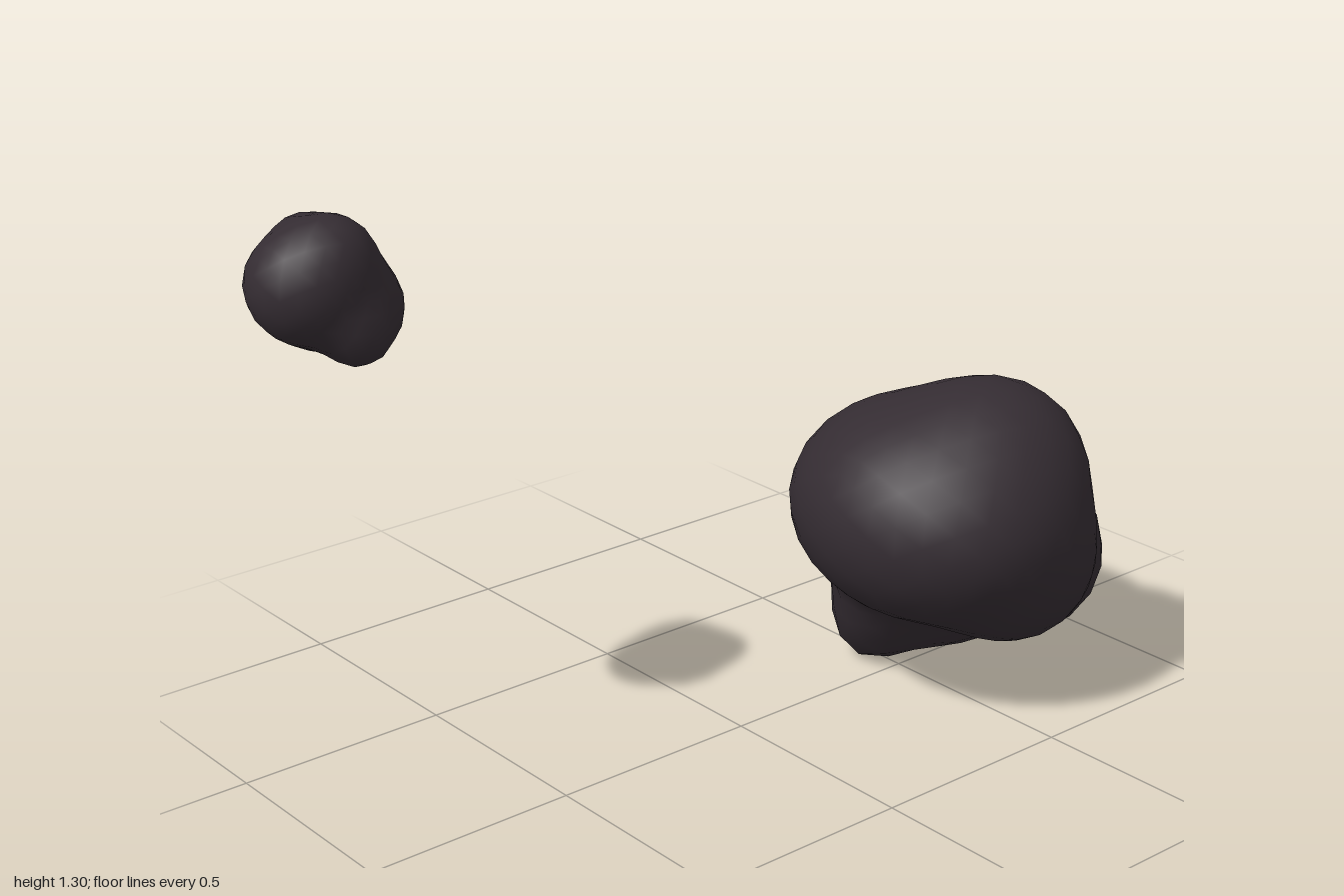
import * as THREE from 'three';
import { mergeVertices } from 'three/addons/utils/BufferGeometryUtils.js';

// Smooth union of ellipsoids [x, y, z, rx, ry, rz] (ry, rz default to rx), as a signed distance
function distance(p, lobes, blend) {
  let d = Infinity;
  for (const [x, y, z, rx, ry = rx, rz = rx] of lobes) {
    const u = (p.x - x) / rx, v = (p.y - y) / ry, w = (p.z - z) / rz;
    const k = Math.hypot(u, v, w);
    const e = k * (k - 1) / Math.max(Math.hypot(u / rx, v / ry, w / rz), 1e-6);
    if (d === Infinity) { d = e; continue; }
    const h = Math.max(blend - Math.abs(d - e), 0) / blend;
    d = Math.min(d, e) - h * h * blend * 0.25;
  }
  return d;
}

// Shrink-wraps an icosphere onto the lobes, marching inwards to the centre
function makeRock(name, center, lobes, blend, detail, material) {
  const ico = new THREE.IcosahedronGeometry(1, detail);
  ico.deleteAttribute('normal');
  ico.deleteAttribute('uv');
  const geometry = mergeVertices(ico, 1e-4);
  const pos = geometry.attributes.position;
  const c = new THREE.Vector3(...center);
  const dir = new THREE.Vector3();
  const p = new THREE.Vector3();
  for (let i = 0; i < pos.count; i++) {
    dir.fromBufferAttribute(pos, i).normalize();
    let t = 0.8;
    for (let s = 0; s < 100 && t > 0.02; s++) {
      const d = distance(p.copy(c).addScaledVector(dir, t), lobes, blend);
      if (d < 1e-4) break;
      t -= d * 0.7;
    }
    p.copy(c).addScaledVector(dir, t);
    pos.setXYZ(i, p.x, p.y, p.z);
  }
  geometry.computeVertexNormals();
  const mesh = new THREE.Mesh(geometry, material);
  mesh.name = name;
  return mesh;
}

export function createModel() {
  const group = new THREE.Group();
  group.name = 'rocks';
  const stone = new THREE.MeshStandardMaterial({ color: 0x342c32 });
  stone.name = 'dark stone';

  group.add(makeRock('largeRock', [0.1, 0.38, -0.56], [
    [0.128, 0.465, -0.47, 0.355, 0.26, 0.31], // broad body
    [0.21, 0.545, -0.57, 0.223],              // crown
    [0.25, 0.355, -0.59, 0.208],              // lower side
    [-0.03, 0.34, -0.77, 0.195],              // rear lobe, upper
    [0.10, 0.258, -0.79, 0.208],              // rear lobe, lower
    [0.14, 0.42, -0.73, 0.14],                // saddle between body and rear lobe
    [-0.05, 0.40, -0.62, 0.15],               // waist
    [-0.025, 0.225, -0.515, 0.16],            // foot root
    [0.035, 0.18, -0.61, 0.13],               // underside
    [-0.085, 0.097, -0.50, 0.098],            // foot
  ], 0.08, 6, stone));

  group.add(makeRock('smallRock', [-0.33, 1.14, 0.82], [
    [-0.323, 1.16, 0.855, 0.122, 0.128, 0.14], // core
    [-0.38, 1.16, 0.88, 0.072],                // front corner
    [-0.414, 1.212, 0.81, 0.068],              // upper corners
    [-0.295, 1.22, 0.825, 0.077],
    [-0.298, 1.10, 0.757, 0.085],              // rear bulge
    [-0.255, 1.055, 0.80, 0.06],               // lower corners
    [-0.39, 1.065, 0.83, 0.06],
  ], 0.06, 4, stone));

  return group;
}
